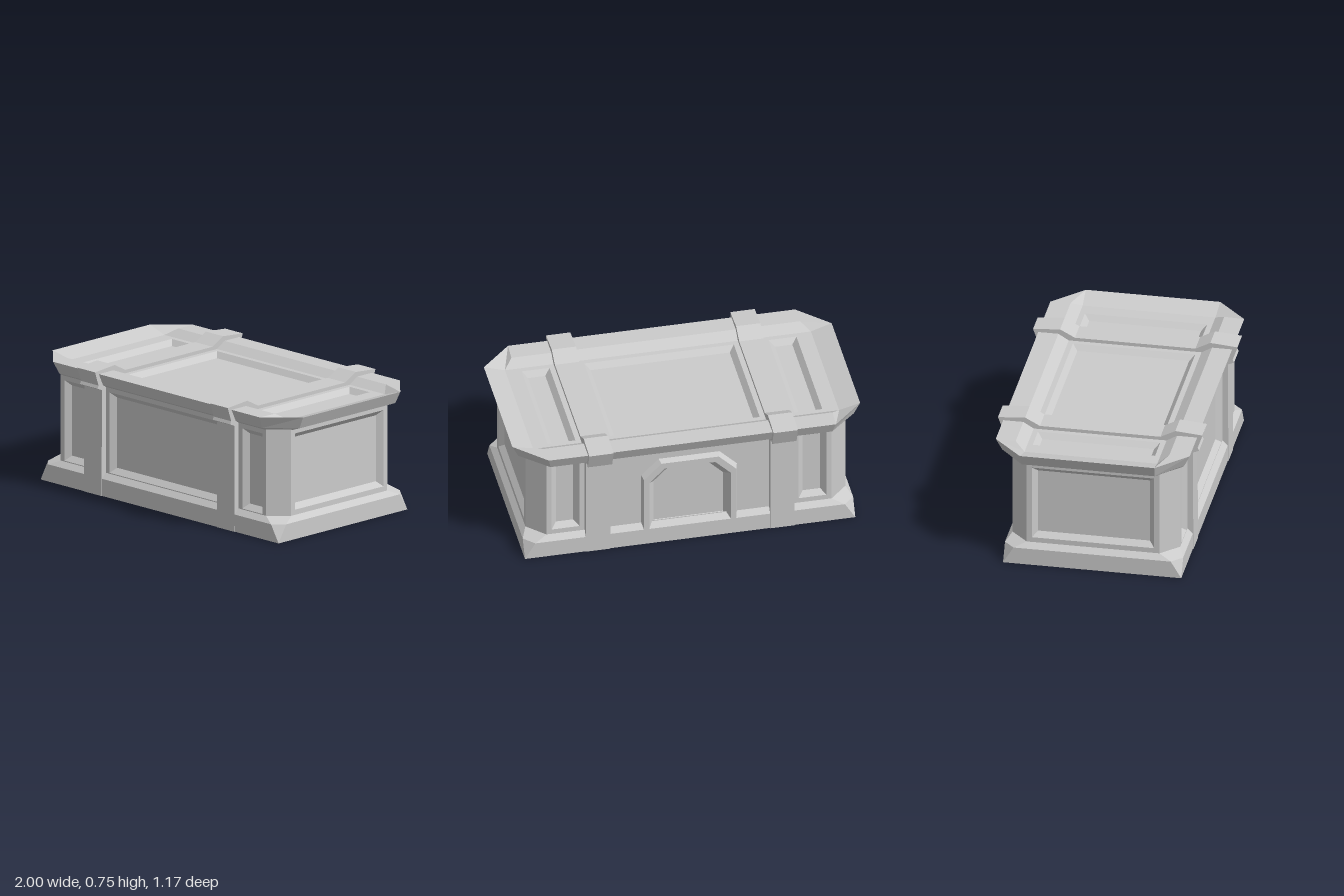
import * as THREE from 'three';

const material = new THREE.MeshStandardMaterial({ color: 0xcccccc, flatShading: true });

function mesh(name, geometry) {
  const m = new THREE.Mesh(geometry, material);
  m.name = name;
  return m;
}

// Skin between successive counter-clockwise rings of [x, y, z]; capEnd closes the last ring.
function loft(rings, capEnd = false, capStart = false) {
  const pos = [];
  const tri = (a, b, c) => pos.push(...a, ...b, ...c);
  for (let r = 0; r + 1 < rings.length; r++) {
    const a = rings[r], b = rings[r + 1], n = a.length;
    for (let i = 0; i < n; i++) {
      const j = (i + 1) % n;
      tri(a[i], a[j], b[j]);
      tri(a[i], b[j], b[i]);
    }
  }
  const first = rings[0], last = rings[rings.length - 1];
  for (let i = 1; i + 1 < first.length; i++) {
    if (capEnd) tri(last[0], last[i], last[i + 1]);
    if (capStart) tri(first[0], first[i + 1], first[i]);
  }
  const g = new THREE.BufferGeometry();
  g.setAttribute('position', new THREE.Float32BufferAttribute(pos, 3));
  g.computeVertexNormals();
  return g;
}

// Octagon ring: X, Y are the half extents, x, y the ends of its straight sides.
function octagon(X, Y, x, y, h, dy = 0, hEnd = h) {
  return [[X, -y, hEnd], [X, y, hEnd], [x, Y, h], [-x, Y, h],
    [-X, y, hEnd], [-X, -y, hEnd], [-x, -Y, h], [x, -Y, h]]
    .map(([px, py, pz]) => [px, py + dy, pz]);
}

const rect = (x0, x1, y0, y1, z = 0) => [[x0, y0, z], [x1, y0, z], [x1, y1, z], [x0, y1, z]];
const toPath = (pts) => pts.map(([x, y]) => new THREE.Vector2(x, y));

// Flat wall facing +z with bevelled sunken panels, plus optional plain openings.
function panelledWall(name, outline, panels, openings = [], depth = 0.03) {
  const group = new THREE.Group();
  group.name = name;
  const shape = new THREE.Shape(toPath(outline));
  const b = 0.03;
  for (const [x0, x1, y0, y1] of panels) {
    const outer = rect(x0, x1, y0, y1);
    shape.holes.push(new THREE.Path(toPath(outer)));
    group.add(mesh('sunkenPanel', loft([outer, rect(x0 + b, x1 - b, y0 + b, y1 - b, -depth)], true)));
  }
  for (const o of openings) shape.holes.push(new THREE.Path(toPath(o)));
  group.add(mesh('wallFace', new THREE.ShapeGeometry(shape)));
  return group;
}

// Arch with clipped top corners
function arch(half, bottom, top, z, clip = 0.1) {
  return [[-half, bottom, z], [half, bottom, z], [half, top - clip, z],
    [half - clip, top, z], [-half + clip, top, z], [-half, top - clip, z]];
}

export function createModel() {
  const chest = new THREE.Group();
  chest.name = 'chest';
  const dz = -0.02; // body sits slightly forward of the lid

  // Plinth: square foot rising to a clipped-corner bevel
  const plinth = mesh('plinth', loft([
    octagon(0.95, 0.51, 0.95, 0.51, 0, dz),
    octagon(0.95, 0.51, 0.89, 0.45, 0.1, dz),
    octagon(0.92, 0.48, 0.82, 0.38, 0.13, dz),
  ], false, true));
  plinth.rotation.x = -Math.PI / 2;
  chest.add(plinth);

  // Body walls
  const y0 = 0.13, y1 = 0.635, lo = 0.16, hi = 0.605;
  const front = panelledWall('frontWall', rect(-0.82, 0.82, y0, y1),
    [[-0.43, 0.43, 0.135, hi], [0.63, 0.79, 0.135, hi], [-0.79, -0.63, 0.135, hi]]);
  front.position.z = 0.5;
  chest.add(front);

  const back = panelledWall('backWall', rect(-0.82, 0.82, y0, y1),
    [[0.63, 0.79, lo, hi], [-0.79, -0.63, lo, hi]], [arch(0.255, 0.135, 0.54, 0)]);
  back.add(mesh('archFrame', loft([
    arch(0.275, 0.1, 0.56, 0),
    arch(0.265, 0.1, 0.545, 0.03),
    arch(0.235, 0.1, 0.51, 0.03, 0.09),
    arch(0.2, 0.125, 0.475, -0.02, 0.08),
  ], true)));
  back.rotation.y = Math.PI;
  back.position.z = -0.46;
  chest.add(back);

  for (const s of [1, -1]) {
    const side = panelledWall(s > 0 ? 'leftWall' : 'rightWall', rect(-0.38, 0.38, y0, y1),
      [[-0.35, 0.35, lo, hi]]);
    side.rotation.y = s * Math.PI / 2;
    side.position.set(s * 0.92, 0, 0.02);
    chest.add(side);
    for (const f of [1, -1]) {
      const corner = panelledWall('cornerWall', rect(-0.0707, 0.0707, y0, y1), []);
      corner.rotation.y = Math.atan2(s, f);
      corner.position.set(s * 0.87, 0, 0.02 + f * 0.43);
      chest.add(corner);
    }
  }

  // Lid: flared edge, raised rims along front and back, dished middle
  const lid = new THREE.Group();
  lid.name = 'lid';
  const floor = 0.68;
  lid.add(mesh('lidRim', loft([
    octagon(0.915, 0.475, 0.815, 0.375, 0.628, dz),
    octagon(0.965, 0.522, 0.81, 0.38, 0.645),
    octagon(1, 0.555, 0.825, 0.385, 0.716),
    octagon(0.88, 0.44, 0.83, 0.38, 0.716, 0, floor),
    octagon(0.88, 0.38, 0.88, 0.38, floor),
  ])));
  const top = panelledWall('lidTop', rect(-0.88, 0.88, -0.38, 0.38),
    [[-0.43, 0.43, -0.35, 0.35], [0.63, 0.79, -0.35, 0.35], [-0.79, -0.63, -0.35, 0.35]]);
  top.position.z = floor;
  lid.add(top);
  lid.rotation.x = -Math.PI / 2;
  chest.add(lid);

  // Straps wrapping the chest front to back, hooked over the lid edge; profile in (z, y)
  const profile = [[0.534, 0], [0.53, 0.617], [0.566, 0.633], [0.558, 0.65], [0.585, 0.732],
    [0.43, 0.745], [0.345, 0.7], [-0.345, 0.7], [-0.43, 0.745], [-0.585, 0.732],
    [-0.546, 0.628], [-0.52, 0.642], [-0.493, 0.615], [-0.494, 0]];
  for (const s of [1, -1]) {
    const g = new THREE.ExtrudeGeometry(new THREE.Shape(toPath(profile)),
      { depth: 0.14, bevelEnabled: false });
    g.translate(0, 0, -0.07);
    const strap = mesh(s > 0 ? 'leftStrap' : 'rightStrap', g);
    strap.rotation.y = -Math.PI / 2;
    strap.position.x = s * 0.53;
    chest.add(strap);
  }
  return chest;
}
